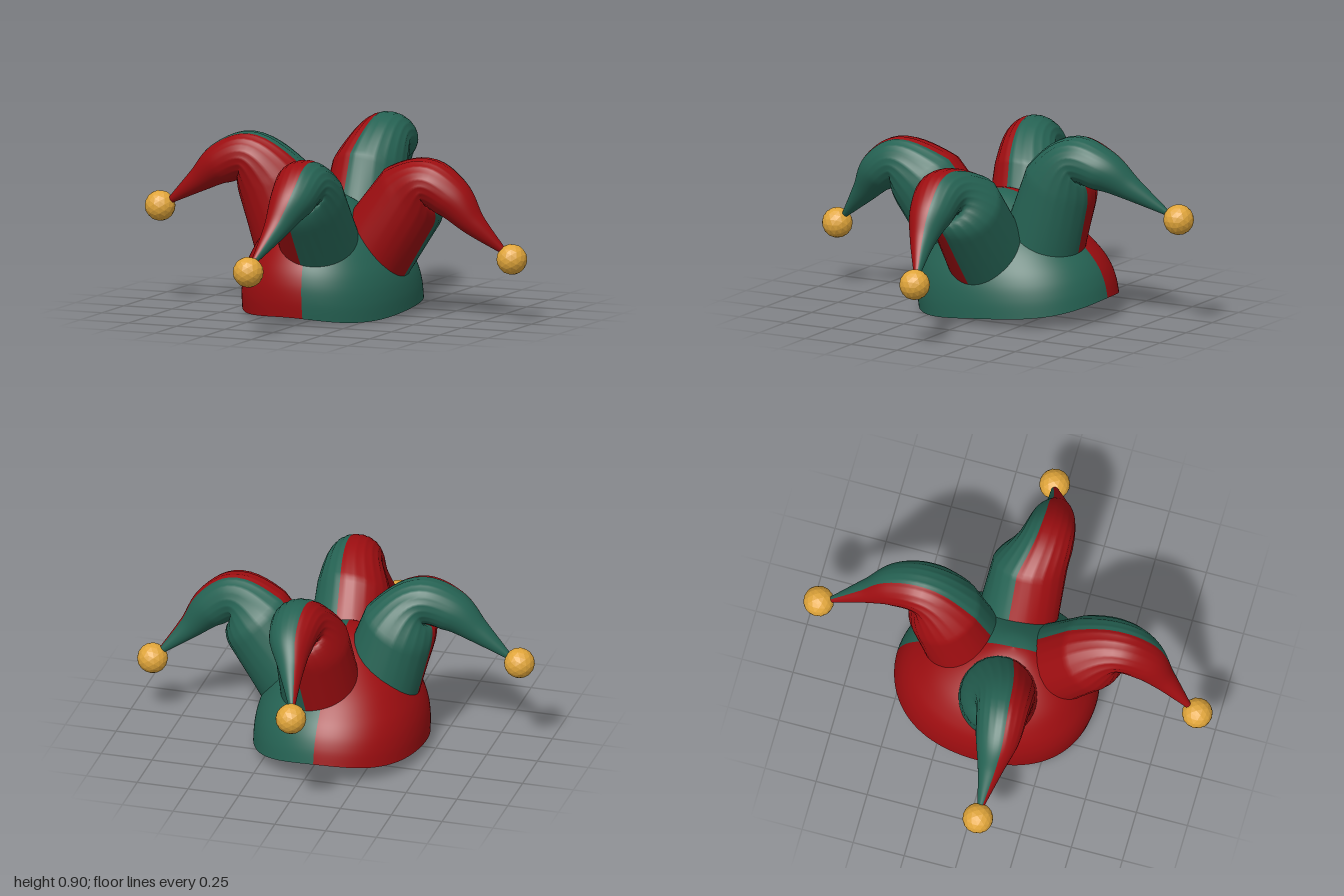
import * as THREE from 'three';

const paint = (color, flat = false) =>
  new THREE.MeshStandardMaterial({ color, flatShading: flat, side: THREE.DoubleSide });
const RED = paint(0x9c0d10), GREEN = paint(0x256253), GOLD = paint(0xe0a53a, true);

// Closed loft of `rows` rings with `cols` sides; the first half of every ring is green, the rest red.
// Faces whose middle fails `keep` are left out.
function twoToneLoft(name, rows, cols, point, keep = () => true) {
  const points = [], halves = [[], []];
  for (let i = 0; i < rows; i++)
    for (let j = 0; j < cols; j++) points.push(point(i, j));
  for (let i = 0; i < rows - 1; i++)
    for (let j = 0; j < cols; j++) {
      const a = i * cols + j, b = i * cols + (j + 1) % cols, c = a + cols, d = b + cols;
      const middle = points[a].clone().add(points[d]).multiplyScalar(0.5);
      if (keep(middle)) halves[j < cols / 2 ? 0 : 1].push(a, b, c, b, d, c);
    }
  const whole = new THREE.BufferGeometry().setFromPoints(points);
  whole.setIndex([...halves[0], ...halves[1]]);
  whole.computeVertexNormals();

  const group = new THREE.Group();
  group.name = name;
  halves.forEach((index, h) => {
    const mesh = new THREE.Mesh(whole.clone().setIndex(index), h ? RED : GREEN);
    mesh.name = name + (h ? 'RedHalf' : 'GreenHalf');
    group.add(mesh);
  });
  return group;
}

// Hollow oval cap with a thin wall and a wavy rim that rises toward the back
function makeCap(keep) {
  const outer = new THREE.SplineCurve([
    [1, 0], [0.995, 0.08], [0.96, 0.16], [0.88, 0.24], [0.72, 0.34], [0.47, 0.44], [0.2, 0.52], [0.002, 0.54],
  ].map(p => new THREE.Vector2(...p))).getPoints(40);
  const inner = outer.map(p => new THREE.Vector2(p.x * 0.965, p.y * 0.97)).reverse();
  const rimIn = inner[inner.length - 1], rimOut = outer[0];
  const profile = [...inner, rimIn, rimOut, ...outer];
  const cols = 128;
  return twoToneLoft('cap', profile.length, cols, (i, j) => {
    const t = j / cols * Math.PI * 2;
    // the front colour seam sits slightly toward the left
    const a = t + 0.07 * (1 + Math.cos(t));
    const { x: r, y: h } = profile[i];
    const bulge = r * (1 + 0.012 * (1 - Math.cos(4 * a)));
    const x = -0.055 + 0.408 * bulge * Math.sin(a);
    const z0 = -0.06 + 0.483 * bulge * Math.cos(a);
    const rim = 0.03 - 0.075 * z0 + 0.1 * z0 * z0 - 0.01 * r * Math.sin(a) + 0.008 * r * Math.cos(4 * a);
    // the crown levels out and leans forward
    return new THREE.Vector3(x, THREE.MathUtils.lerp(rim, 0.04, h / 0.54) + h, z0 + 0.16 * h);
  }, keep);
}

// Half-widths along a horn: sideways, then in the plane of the bend
const WIDTHS = new THREE.CatmullRomCurve3([
  [0.185, 0.19], [0.19, 0.195], [0.178, 0.185], [0.13, 0.118], [0.105, 0.1], [0.062, 0.06], [0.014, 0.014],
].map(([s, n]) => new THREE.Vector3(s, n, 0)));

// Drooping horn, open at the base and ending on the surface of the cap
function makeHorn({ name, side, path }, cap) {
  const S = new THREE.Vector3(...side), centre = new THREE.CatmullRomCurve3(path);
  const rows = 44, cols = 66, baseRows = 10, baseEnd = 1 / 3;
  const caster = new THREE.Raycaster();

  const ringPoint = (u, j) => {
    // half a quarter turn back so colours meet above and below, with a slight twist to the tip
    const t = j / cols * Math.PI * 2 - Math.PI / 2 - 0.55 * u;
    const c = centre.getPoint(u), w = WIDTHS.getPoint(u);
    const N = centre.getTangent(u).cross(S).normalize();
    // fine lengthwise gathers around the bend
    const gather = 1 + (j % 3 ? 0 : -0.035) * Math.exp(-(((u - 0.47) / 0.14) ** 2));
    return c.addScaledVector(S, w.x * Math.cos(t) * gather)
      .addScaledVector(N, w.y * Math.sin(t) * gather);
  };

  // where each side line of the horn meets the cap
  const feet = Array.from({ length: cols }, (_, j) => {
    const top = ringPoint(baseEnd, j), low = ringPoint(baseEnd / 2, j);
    caster.set(top, low.clone().sub(top).normalize());
    const hit = caster.intersectObject(cap)[0];
    return hit ? hit.point : low;
  });

  return twoToneLoft(name, rows, cols, (i, j) => i < baseRows
    ? feet[j].clone().lerp(ringPoint(baseEnd, j), i / baseRows)
    : ringPoint(baseEnd + (1 - baseEnd) * (i - baseRows) / (rows - 1 - baseRows), j));
}

// Horn paths are given as [outward, up, sideways]
const HORNS = [
  { name: 'leftHorn', out: [1, 0, 0], side: [0, 0, -1], bell: [0.885, 0.3, -0.03],
    path: [[0.15, 0.27, 0.02], [0.21, 0.35, 0.02], [0.375, 0.57, 0.01], [0.49, 0.65, -0.04],
      [0.61, 0.58, -0.04], [0.71, 0.47, -0.03], [0.85, 0.335, 0.02]] },
  { name: 'rightHorn', out: [-1, 0, 0], side: [0, 0, -1], bell: [-0.888, 0.465, 0.08],
    path: [[0.2, 0.27, 0], [0.235, 0.36, 0], [0.315, 0.6, -0.02], [0.418, 0.732, -0.07],
      [0.56, 0.69, -0.085], [0.68, 0.605, -0.085], [0.84, 0.49, -0.08]] },
  { name: 'frontHorn', out: [0, 0, 1], side: [1, 0, 0], bell: [-0.05, 0.31, 0.925],
    path: [[0.15, 0.27, 0], [0.215, 0.35, 0], [0.39, 0.58, 0.015], [0.52, 0.675, 0.045],
      [0.64, 0.61, 0.045], [0.74, 0.5, 0.015], [0.88, 0.355, -0.04]] },
  { name: 'backHorn', out: [0, 0, -1], side: [1, 0, 0], bell: [-0.058, 0.53, -0.927],
    path: [[0.21, 0.29, 0], [0.24, 0.39, 0], [0.33, 0.645, 0.015], [0.435, 0.782, 0.045],
      [0.58, 0.745, 0.045], [0.7, 0.67, 0.01], [0.87, 0.56, -0.045]] },
].map(horn => {
  const O = new THREE.Vector3(...horn.out), S = new THREE.Vector3(...horn.side);
  const path = horn.path.map(([o, y, s]) =>
    new THREE.Vector3(0, y, 0).addScaledVector(O, o).addScaledVector(S, s));
  return { ...horn, path };
});

// True for points of the cap that are not under the open foot of a horn
const outsideHorns = p => HORNS.every(({ path }) => {
  const axis = path[2].clone().sub(path[1]).normalize(), d = p.clone().sub(path[1]);
  const along = d.dot(axis);
  return along < -0.2 || d.addScaledVector(axis, -along).length() > 0.172;
});

export function createModel() {
  const model = new THREE.Group();
  model.name = 'jesterHat';
  const closedCap = makeCap();
  model.add(makeCap(outsideHorns));
  const ball = new THREE.IcosahedronGeometry(0.073, 2);
  for (const horn of HORNS) {
    model.add(makeHorn(horn, closedCap));
    const bell = new THREE.Mesh(ball, GOLD);
    bell.name = horn.name.replace('Horn', 'Bell');
    bell.position.set(...horn.bell);
    model.add(bell);
  }
  return model;
}
